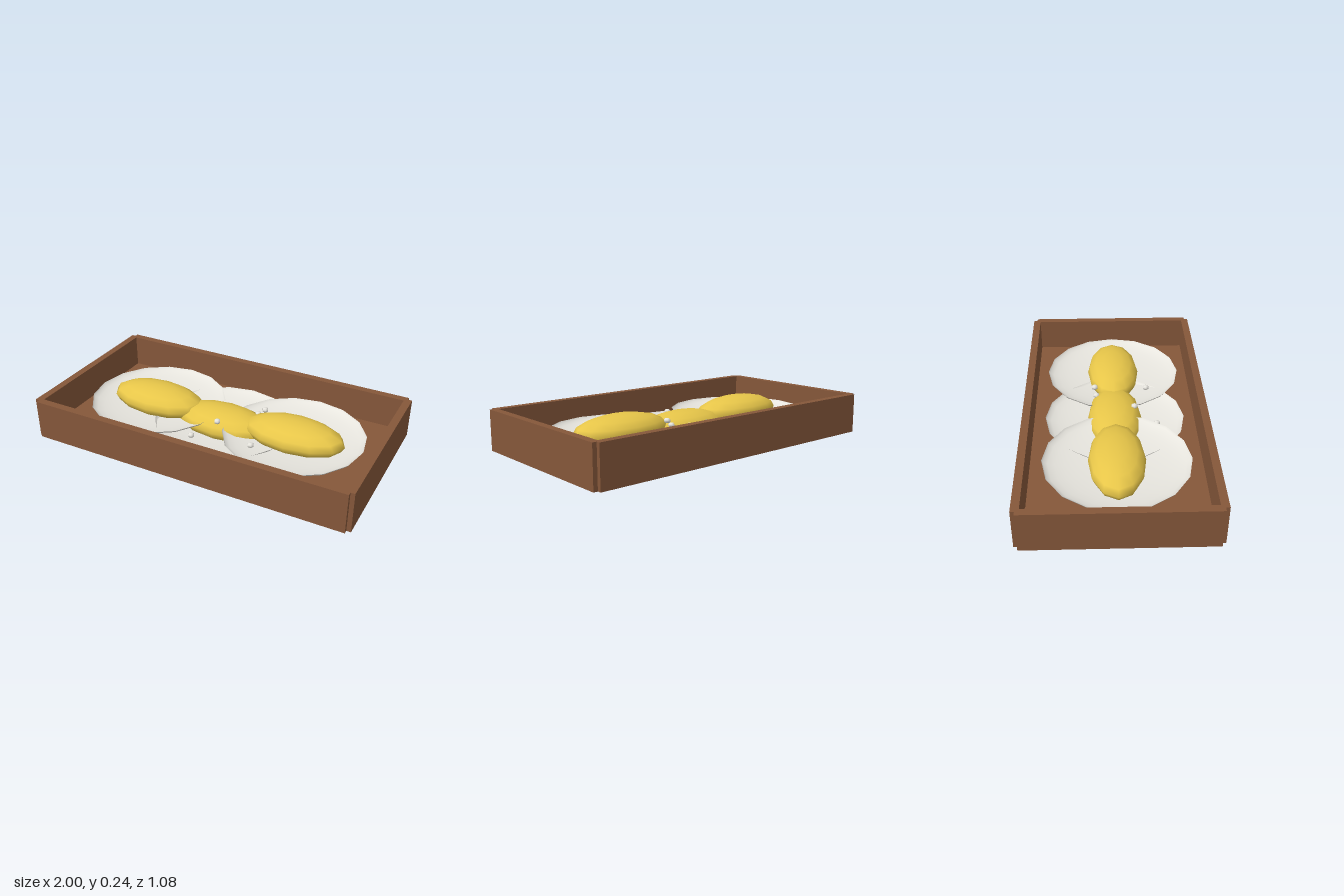
import * as THREE from 'three';

export function createModel() {
  const model = new THREE.Group();
  const wood = new THREE.MeshStandardMaterial({ color: 0x85573a });
  wood.name = 'brown wood';
  const white = new THREE.MeshStandardMaterial({ color: 0xebe9e2, side: THREE.DoubleSide });
  white.name = 'off white';
  const yellow = new THREE.MeshStandardMaterial({ color: 0xedcb4b });
  yellow.name = 'golden yellow';

  function add(parent, name, geometry, material, x, y, z) {
    const mesh = new THREE.Mesh(geometry, material);
    mesh.name = name;
    mesh.position.set(x, y, z);
    parent.add(mesh);
    return mesh;
  }

  // Open wooden tray; long walls overlap the short walls at the corners
  const tray = new THREE.Group();
  tray.name = 'tray';
  model.add(tray);
  add(tray, 'trayFloor', new THREE.BoxGeometry(1.95, 0.04, 1.04), wood, 0, 0.02, 0);
  for (const s of [-1, 1]) {
    add(tray, s > 0 ? 'frontWall' : 'backWall',
      new THREE.BoxGeometry(1.95, 0.242, 0.045), wood, 0, 0.121, s * 0.5175);
    add(tray, s > 0 ? 'leftWall' : 'rightWall',
      new THREE.BoxGeometry(0.045, 0.242, 1.035), wood, s * 0.9775, 0.121, 0);
  }

  // Shallow bowl: thin curved shell, 16 sided
  const profile = [];
  for (let i = 0; i <= 8; i++) {
    const a = (i / 8) * Math.PI / 2;
    profile.push(new THREE.Vector2(0.42 * Math.sin(a), -0.06 * Math.cos(a)));
  }
  const bowlGeometry = new THREE.LatheGeometry(profile, 16);

  // Long rounded filling
  const fillingGeometry = new THREE.SphereGeometry(1, 12, 8);
  fillingGeometry.scale(0.312, 0.094, 0.162);

  // Three servings, the middle one set lower
  const servings = [['right', -0.46, 0.14], ['middle', 0, 0.1], ['left', 0.46, 0.14]];
  for (const [side, x, y] of servings) {
    add(model, side + 'Bowl', bowlGeometry, white, x, y, 0);
    add(model, side + 'Filling', fillingGeometry, yellow, x, y - 0.006, 0);
  }

  // Small scattered beads
  const beadGeometry = new THREE.SphereGeometry(0.021, 6, 5);
  beadGeometry.scale(1, 0.75, 1);
  const beads = [
    [0.18, 0.138, -0.11], [0.22, 0.172, -0.12], [0.02, 0.163, 0.12],
    [-0.085, 0.11, 0.25], [0.28, 0.125, 0.205],
  ];
  for (const p of beads) add(model, 'bead', beadGeometry, white, ...p);

  return model;
}
